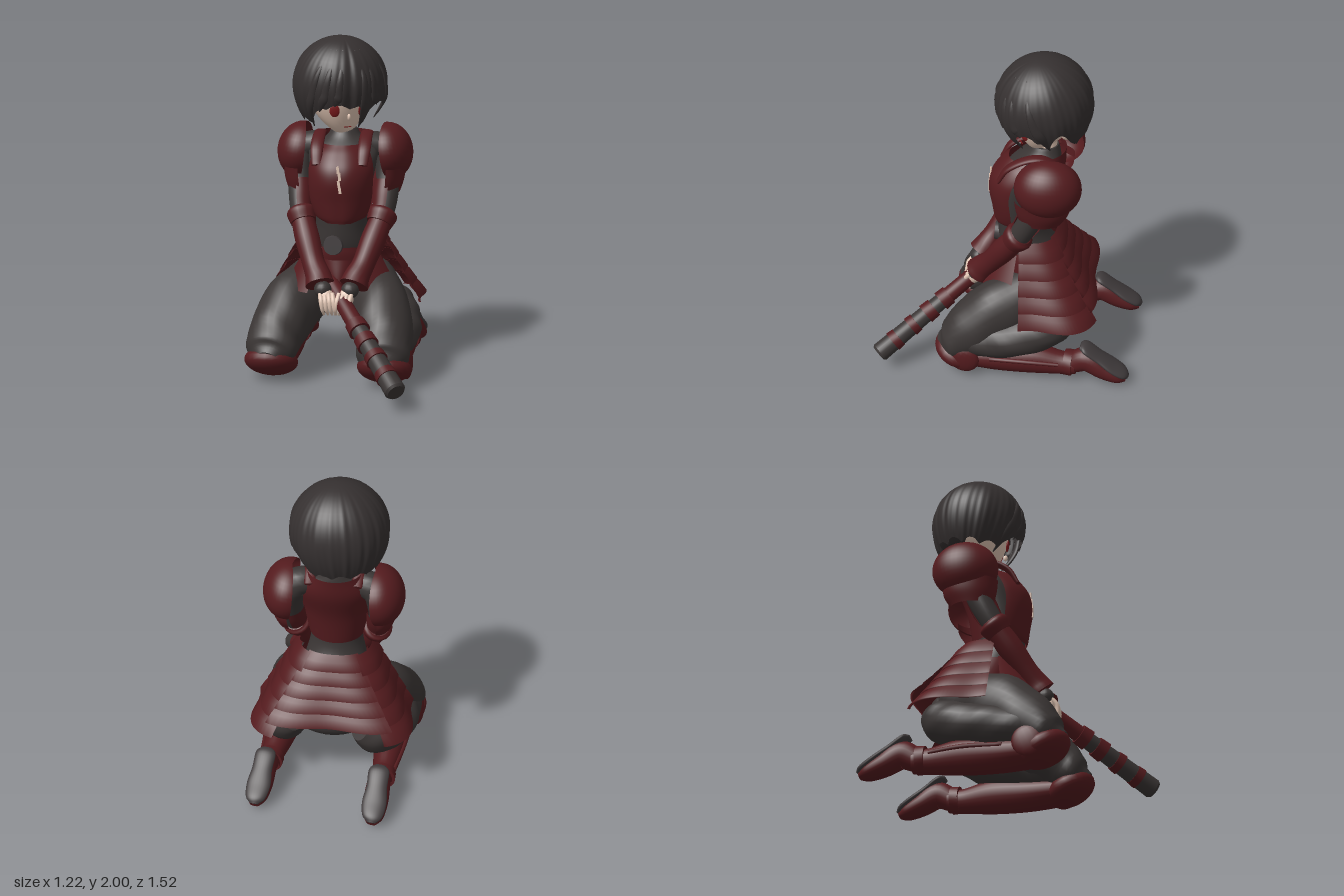
import * as THREE from 'three';

const mat = (name, color, side = THREE.FrontSide) => {
  const m = new THREE.MeshStandardMaterial({ color, side });
  m.name = name;
  return m;
};

// Sweeps an ellipse along rows of [x, y, z, radiusA, radiusB]; arc leaves it open as a shell.
function sweep(rows, { n = 24, steps = 6, ref = [0, 0, 1], axis = null, arc = null, ripple = null } = {}) {
  const pts = rows.map(r => new THREE.Vector3(r[0], r[1], r[2]));
  const path = new THREE.CatmullRomCurve3(pts, false, 'catmullrom');
  const size = new THREE.CatmullRomCurve3(rows.map(r => new THREE.Vector3(r[3], r[4] ?? r[3], 0)), false, 'catmullrom');
  const straight = axis ? new THREE.Vector3(...axis) : pts.length === 2 ? pts[1].clone().sub(pts[0]).normalize() : null;
  const N = (rows.length - 1) * steps, w = arc ? n + 1 : n, [a0, a1] = arc ?? [0, Math.PI * 2];
  const pos = [], idx = [], R = new THREE.Vector3(...ref);
  for (let i = 0; i <= N; i++) {
    const t = i / N, p = path.getPoint(t), s = size.getPoint(t), T = straight ?? path.getTangent(t);
    const side = T.clone().cross(R).normalize(), up = side.clone().cross(T);
    for (let j = 0; j < w; j++) {
      const a = a0 + (a1 - a0) * j / n, k = ripple ? 1 + ripple(a, t) : 1;
      const q = p.clone().addScaledVector(side, s.x * k * Math.cos(a)).addScaledVector(up, s.y * k * Math.sin(a));
      pos.push(q.x, q.y, q.z);
    }
  }
  for (let i = 0; i < N; i++) for (let j = 0; j < n; j++) {
    const a = i * w + j, d = i * w + (j + 1) % w;
    idx.push(a, a + w, d, a + w, d + w, d);
  }
  if (!arc) for (const end of [0, N]) {
    const base = pos.length / 3, from = end * w * 3, c = path.getPoint(end / N);
    pos.push(...pos.slice(from, from + w * 3), c.x, c.y, c.z);
    for (let j = 0; j < n; j++) {
      const e = base + (j + 1) % n;
      if (end) idx.push(base + w, e, base + j); else idx.push(base + w, base + j, e);
    }
  }
  const g = new THREE.BufferGeometry();
  g.setAttribute('position', new THREE.Float32BufferAttribute(pos, 3));
  g.setIndex(idx);
  g.computeVertexNormals();
  return g;
}

const ball = (c, r, seg = 24) => new THREE.SphereGeometry(1, seg, seg * 0.7 | 0).scale(...r).translate(...c);

function add(parent, name, geo, material) {
  const m = new THREE.Mesh(geo, material);
  m.name = name;
  parent.add(m);
}

// Adds a left part and its mirrored right twin.
function pair(parent, name, geo, material) {
  add(parent, 'left' + name, geo, material);
  const g = geo.clone().scale(-1, 1, 1), ix = g.index.array;
  for (let i = 0; i < ix.length; i += 3) [ix[i], ix[i + 1]] = [ix[i + 1], ix[i]];
  g.computeVertexNormals();
  add(parent, 'right' + name, g, material);
}

function group(parent, name, p = [0, 0, 0], ry = 0, rx = 0) {
  const g = new THREE.Group();
  g.name = name;
  g.position.set(...p);
  g.rotation.set(rx, ry, 0, 'YXZ');
  parent.add(g);
  return g;
}

export function createModel() {
  const model = new THREE.Group();
  model.name = 'kneelingWarrior';
  const red = mat('armorRed', 0x541b1e, THREE.DoubleSide), cloth = mat('darkCloth', 0x3a3534);
  const hair = mat('hairBlack', 0x353030, THREE.DoubleSide), skin = mat('skin', 0xe4c8b6);
  const sole = mat('soleGrey', 0x403b3c), iris = mat('eyeRed', 0x7c1a1c);
  const PI = Math.PI, Y = [0, 1, 0];
  const folds = (a, t) => 0.035 * Math.sin(t * 26 + 2 * Math.sin(a)) * Math.sin(a * 2 + 1);

  // Torso
  const body = group(model, 'body', [-0.057, 0, 0.017], 0.29);
  add(body, 'bodysuit', sweep([[0, .48, -.17, .2, .17], [0, .62, -.13, .235, .19], [0, .76, -.04, .185, .165],
    [0, .9, 0, .155, .142], [0, 1.1, 0, .175, .15], [0, 1.25, -.04, .2, .155], [0, 1.34, -.1, .2, .13],
    [0, 1.4, -.13, .11, .1], [0, 1.45, -.14, .075, .078]], { axis: Y, n: 32 }), cloth);
  add(body, 'breastplate', sweep([[0, .915, .005, .125, .15], [0, .95, 0, .16, .165], [0, 1.04, 0, .19, .178], [0, 1.15, .005, .2, .19],
    [0, 1.24, -.015, .2, .195], [0, 1.32, -.05, .175, .175], [0, 1.37, -.08, .13, .155]],
    { axis: Y, arc: [.3, PI - .3], n: 32, ripple: a => -0.02 * Math.exp(-((a - PI / 2) ** 2) * 30) }), red);
  add(body, 'backPlate', sweep([[0, .92, 0, .165, .16], [0, 1.12, -.02, .2, .175], [0, 1.3, -.08, .225, .175],
    [0, 1.43, -.12, .16, .145]], { axis: Y, arc: [PI + .2, 2 * PI - .2] }), red);
  [[-.002, 1.24, .181], [.008, 1.2, .187], [.004, 1.16, .191], [.01, 1.125, .19]].forEach(([x, y, z], i) =>
    add(body, 'chestSlit' + i, new THREE.BoxGeometry(.016, .042, .009).rotateZ(.12).translate(x, y, z), skin));
  pair(body, 'ShoulderStrap', sweep([[.135, 1.26, .125, .012, .03], [.14, 1.35, .07, .016, .038], [.14, 1.41, -.03, .016, .038],
    [.14, 1.425, -.13, .016, .036], [.135, 1.38, -.225, .012, .03]], { ref: [1, 0, 0], n: 12 }), red);
  add(body, 'belt', sweep([[0, .77, -.04, .195, .177], [0, .72, -.06, .215, .195], [0, .64, -.1, .245, .22]],
    { axis: Y, arc: [0, 2 * PI], n: 40 }), red);
  add(body, 'buckle', new THREE.CylinderGeometry(.055, .06, .04, 20).rotateX(PI / 2 - .1).translate(-.035, .785, .145), sole);
  add(body, 'frontFlap', sweep([[0, .7, -.03, .16, .2], [0, .6, -.03, .12, .22], [0, .5, -.02, .04, .22]],
    { axis: Y, arc: [.5, PI - .5] }), red);

  // Layered skirt armour, squared off towards the rear corners
  [[PI - .2, PI + .95], [PI + .85, 2 * PI - .85], [2 * PI - .95, 2 * PI + .2]].forEach((arc, p) => {
    for (let k = 0; k < 5; k++) {
      const out = p === 1 ? -.008 : .006;
      const row = (t, o) => [0, .875 - (p === 1 ? .36 : .445) * t, -.04 - .05 * t, .21 + .23 * t + o + out, .185 + .17 * t + o + out];
      add(body, `skirtPanel${p}Layer${k}`, sweep([row(k / 5, 0), row(k / 5 + .1, .012), row(k / 5 + .23, .014), row(k / 5 + .23, 0)],
        { axis: Y, arc, steps: 1, ripple: (a, t) => (.07 + .2 * (k / 5 + .23 * Math.min(1, t * 1.5))) * Math.sin(2 * a) ** 2 }), red);
    }
  });
  for (let k = 0; k < 3; k++) {
    const row = t => [0, .77 - .24 * t, -.04, .21 + .14 * t, .185 + .12 * t];
    pair(body, 'HipPlate' + k, sweep([row(k / 3), row(k / 3 + .4)], { axis: Y, arc: [.3, 1.05], steps: 1 }), red);
  }

  // Arms
  pair(body, 'Arm', sweep([[.14, 1.35, -.12, .08], [.24, 1.32, -.15, .085], [.265, 1.17, -.11, .075], [.245, .96, -.01, .065],
    [.18, .76, .12, .06], [.1, .58, .245, .052]], { n: 18, ripple: folds }), cloth);
  pair(body, 'ShoulderGuard', new THREE.SphereGeometry(1, 24, 20, PI / 2 - .25, PI + .5).scale(.15, .175, .195)
    .rotateZ(.12).translate(.26, 1.305, -.17), red);
  pair(body, 'UpperArmPlate', sweep([[.255, 1.22, -.14, .115, .165], [.25, 1.14, -.14, .108, .155], [.245, 1.07, -.13, .09, .125]],
    { axis: Y, arc: [-1.5, 1.5] }), red);
  pair(body, 'UpperArmGuard', sweep([[.265, 1.13, -.09, .08], [.258, 1.05, -.055, .08], [.25, .98, -.02, .072]], { arc: [-1.7, 1.7] }), red);
  pair(body, 'ElbowGuard', sweep([[.25, .97, -.02, .068], [.243, .95, -.005, .09], [.225, .9, .03, .078]], { n: 20 }), red);
  pair(body, 'Bracer', sweep([[.235, .92, .015, .068], [.195, .81, .09, .074], [.15, .69, .17, .067], [.115, .62, .22, .076], [.1, .575, .25, .086]],
    { n: 20 }), red);
  pair(body, 'Glove', ball([.08, .55, .272], [.052, .05, .05], 16), cloth);
  pair(body, 'Palm', ball([.058, .505, .288], [.046, .055, .042], 16), skin);
  for (let k = 0; k < 4; k++) {
    const x = .01 + .024 * k;
    pair(body, 'Finger' + k, sweep([[x + .01, .535, .305, .013], [x, .495, .337, .014], [x - .008, .445, .338, .012], [x - .014, .41, .315, .007]],
      { n: 8, ref: [1, 0, 0] }), skin);
  }

  // Legs
  const legs = group(body, 'legs', [-.012, 0, 0], -0.105);
  add(legs, 'seat', ball([0, .48, -.24], [.25, .14, .18]), cloth);
  pair(legs, 'Thigh', sweep([[.12, .53, -.24, .14, .14], [.2, .48, -.06, .16, .18], [.28, .38, .12, .175, .19], [.325, .26, .27, .165, .16],
    [.335, .18, .37, .145, .115], [.34, .15, .44, .07, .055]], { ref: Y, n: 28, ripple: folds }), cloth);
  pair(legs, 'TrouserCalf', sweep([[.34, .23, .25, .14, .12], [.34, .26, .05, .16, .13], [.31, .31, -.15, .15, .13], [.26, .37, -.27, .13, .12],
    [.2, .43, -.34, .06, .06]], { ref: Y, ripple: folds }), cloth);
  pair(legs, 'Greave', sweep([[.335, .1, .32, .11, .075], [.34, .1, .1, .105, .095], [.345, .11, -.12, .092, .102], [.35, .1, -.3, .07, .075],
    [.35, .105, -.4, .066, .068]], { ref: Y }), red);
  pair(legs, 'GreaveRidge', sweep([[.435, .13, .12, .014], [.435, .14, -.1, .014], [.415, .13, -.3, .012]], { ref: Y, n: 8 }), red);
  pair(legs, 'KneeGuard', ball([0, 0, 0], [.16, .085, .15]).rotateX(-.42).translate(.34, .115, .335), red);
  pair(legs, 'KneeWing', ball([0, 0, 0], [.03, .09, .09], 16).rotateX(-.4).translate(.465, .13, .27), red);
  pair(legs, 'AnkleBand', sweep([[.35, .11, -.33, .08], [.352, .11, -.38, .082]], { ref: Y, steps: 1 }), red);
  pair(legs, 'Foot', sweep([[.35, .11, -.38, .062, .065], [.352, .15, -.47, .07, .08], [.355, .1, -.57, .075, .065], [.358, .06, -.66, .062, .045],
    [.358, .045, -.71, .03, .02]], { ref: Y }), red);
  pair(legs, 'Sole', sweep([[.35, .25, -.425, .035, .015], [.35, .24, -.46, .062, .024], [.353, .185, -.54, .062, .024], [.355, .13, -.62, .073, .024],
    [.358, .085, -.69, .06, .024], [.358, .06, -.72, .025, .014]], { ref: Y }), sole);

  // Head and face
  add(model, 'neck', sweep([[-.095, 1.4, -.125, .062], [-.11, 1.62, -.12, .062]], { steps: 2 }), skin);
  const head = group(model, 'head', [-.118, 1.72, -.1], .72, .18);
  const front = group(head, 'faceGroup', [0, 0, -.03]);
  const face = new THREE.SphereGeometry(1, 40, 30), fp = face.attributes.position;
  for (let i = 0; i < fp.count; i++) {
    const y = fp.getY(i), d = Math.max(0, -y), taper = 1 - .3 * d * d;
    fp.setXYZ(i, fp.getX(i) * .2 * taper, y * .25 - .04, fp.getZ(i) * .205 * taper + .02 + .1 * d * d);
  }
  face.computeVertexNormals();
  add(front, 'face', face, skin);
  add(front, 'nose', ball([0, -.155, .23], [.01, .02, .014], 12), skin);
  add(front, 'mouth', new THREE.BoxGeometry(.045, .004, .006).translate(0, -.22, .214), iris);
  pair(front, 'Eye', ball([0, 0, 0], [.03, .038, .008], 16).rotateY(.38).translate(.085, -.12, .212), iris);
  pair(front, 'Lash', new THREE.BoxGeometry(.075, .012, .009).rotateY(.38).translate(.087, -.08, .214), hair);
  pair(head, 'Ear', ball([.213, -.1, -.03], [.022, .058, .036], 14), skin);

  // Bowl-cut hair with an open face, long side locks and a parting
  const bump = (x, c, s) => Math.exp(-(((x - c) / s) ** 2));
  const hem = f => -.235 + .145 / (1 + ((f - .15) / 1.02) ** 8) - .13 * bump(f, .3, .1) - .06 * bump(f, 1.18, .07)
    + .14 * bump(f, 1.5, .2) + .03 * Math.abs(Math.sin(f * 6 + .4));
  const hairPoint = (f, v, lift = 0) => {
    const h = hem(f), low = v > .6, th = Math.min(v / .6, 1) * PI / 2;
    const y = low ? h * (v - .6) / .4 : .28 * Math.cos(th);
    const strands = .014 * v * Math.sin(18 * f + 3 * Math.sin(2 * f)) + .007 * v * Math.sin(41 * f) - .035 * bump(f, -.1, .07);
    const r = (low ? .282 * (1 - .42 * (y / .28) ** 2) : .282 * Math.sin(th)) * (1 + strands) + lift;
    return [r * Math.sin(f), y, r * Math.cos(f)];
  };
  const cols = 200, rowsN = 26, hp = [], hi = [];
  for (let i = 0; i <= rowsN; i++) for (let j = 0; j < cols; j++)
    hp.push(...hairPoint(-PI + 2 * PI * j / cols, i / rowsN));
  for (let i = 0; i < rowsN; i++) for (let j = 0; j < cols; j++) {
    const a = i * cols + j, d = i * cols + (j + 1) % cols;
    hi.push(a, a + cols, d, a + cols, d + cols, d);
  }
  const cap = new THREE.BufferGeometry();
  cap.setAttribute('position', new THREE.Float32BufferAttribute(hp, 3));
  cap.setIndex(hi);
  cap.computeVertexNormals();
  add(head, 'hair', cap, hair);
  add(head, 'innerHair', ball([0, -.01, -.11], [.2, .21, .15]), hair);
  [-1.1, -.75, -.4, .3, .6, 1.18].forEach((f, i) => {
    const rows = [.22, .45, .65, .85, 1.05].map((v, k) =>
      [...hairPoint(f * (.6 + .4 * v), v, -.004), [.006, .018, .03, .026, .003][k], [.004, .01, .013, .011, .003][k]]);
    add(head, 'hairLock' + i, sweep(rows, { n: 10, ref: [Math.sin(f), 0, Math.cos(f)] }), hair);
  });

  // Wrapped staff held in both hands
  const staff = group(model, 'staff');
  const A = new THREE.Vector3(-.06, .575, .19), E = new THREE.Vector3(.57, .125, .715);
  const piece = (name, t0, t1, r0, r1, m) => {
    const p = A.clone().lerp(E, t0), q = A.clone().lerp(E, t1);
    add(staff, name, sweep([[p.x, p.y, p.z, r0], [q.x, q.y, q.z, r1]], { steps: 1 }), m);
  };
  piece('grip', 0, .47, .046, .05, red);
  piece('shaft', .47, .985, .05, .06, cloth);
  piece('tip', .985, 1, .06, .05, cloth);
  [[.4, .47], [.53, .6], [.68, .73], [.83, .88]].forEach(([a, b], i) => piece('ring' + i, a, b, .06, .064, red));
  return model;
}
